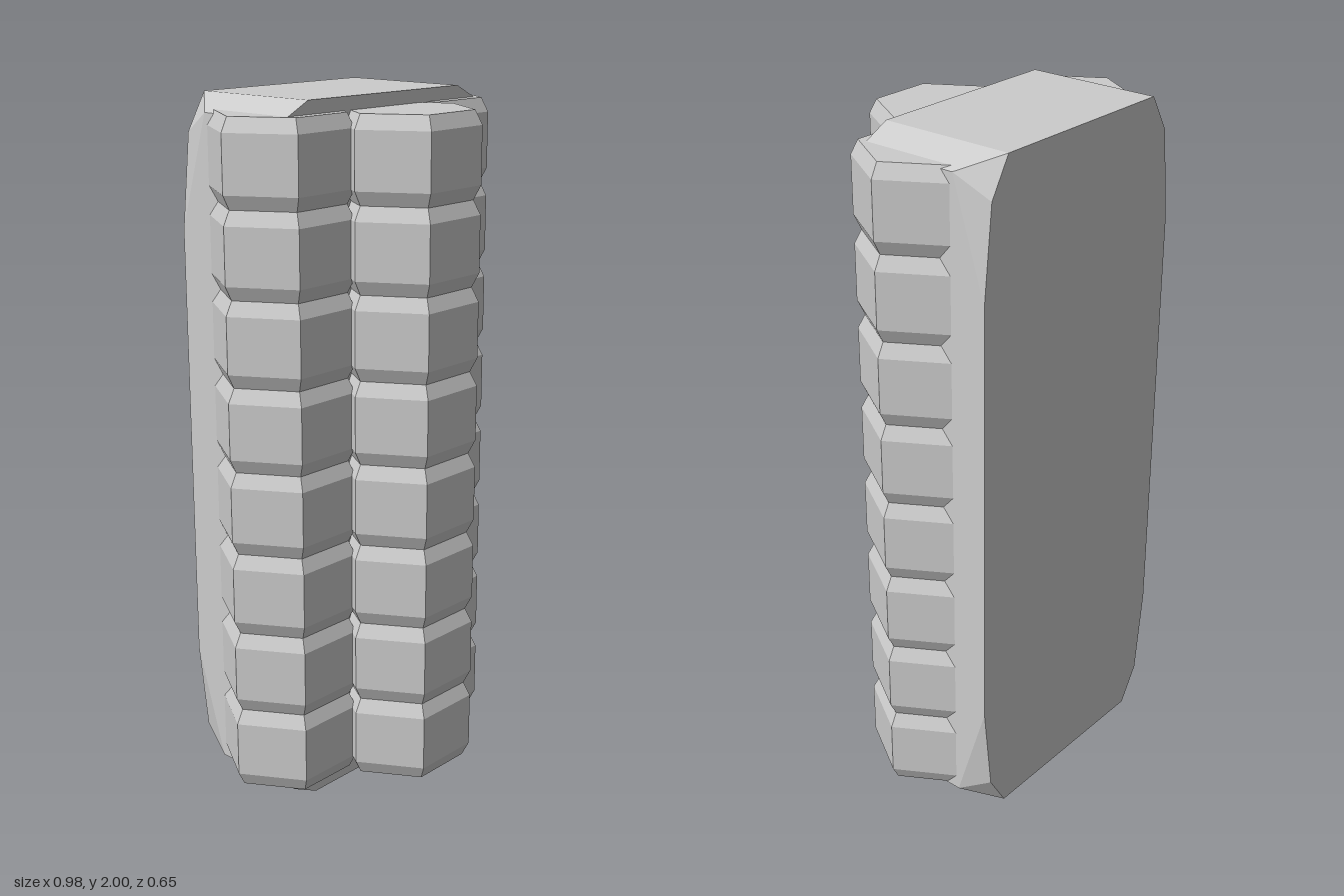
import * as THREE from 'three';
import { ConvexGeometry } from 'three/addons/geometries/ConvexGeometry.js';

const material = new THREE.MeshStandardMaterial({ color: 0xcccccc, flatShading: true });

// Hexagonal column: a stack of bevelled segments, closed at both ends
function ribbedColumn(name, x, z) {
  const radius = 0.209, inset = 0.021, bevel = 0.04;
  const bottom = 0.048, pitch = 0.2394, count = 8;
  const profile = [new THREE.Vector2(0, bottom)];
  for (let i = 0; i < count; i++) {
    const y0 = bottom + i * pitch, y1 = y0 + pitch;
    if (i === 0) profile.push(new THREE.Vector2(radius - inset, y0));
    profile.push(
      new THREE.Vector2(radius, y0 + bevel),
      new THREE.Vector2(radius, y1 - bevel),
      new THREE.Vector2(radius - inset, y1)
    );
  }
  profile.push(new THREE.Vector2(0, bottom + count * pitch));
  const geometry = new THREE.LatheGeometry(profile, 6, Math.PI / 6);
  geometry.scale(1, 1, 0.95);
  const mesh = new THREE.Mesh(geometry, material);
  mesh.name = name;
  mesh.position.set(x, 0, z);
  return mesh;
}

// Backing block with sloped shoulders and faceted rear corners
function backingBlock() {
  const front = 0.073, back = -0.325;
  const corner = [
    [0.30, 1.0, front], [0.39, 0.955, front],
    [0.30, 1.0, back], [0.39, 0.955, -0.225],
    [0.362, 0.895, back], [0.39, 0.63, back],
  ];
  const points = [];
  for (const sx of [-1, 1])
    for (const sy of [-1, 1])
      for (const [x, y, z] of corner) points.push(new THREE.Vector3(sx * x, 1 + sy * y, z));
  const mesh = new THREE.Mesh(new ConvexGeometry(points), material);
  mesh.name = 'backingBlock';
  return mesh;
}

export function createModel() {
  const model = new THREE.Group();
  model.name = 'ribbedColumnPack';
  model.add(
    backingBlock(),
    ribbedColumn('leftColumn', 0.28, -0.053),
    ribbedColumn('rightColumn', -0.28, -0.053),
    ribbedColumn('frontColumn', 0, 0.15)
  );
  return model;
}
